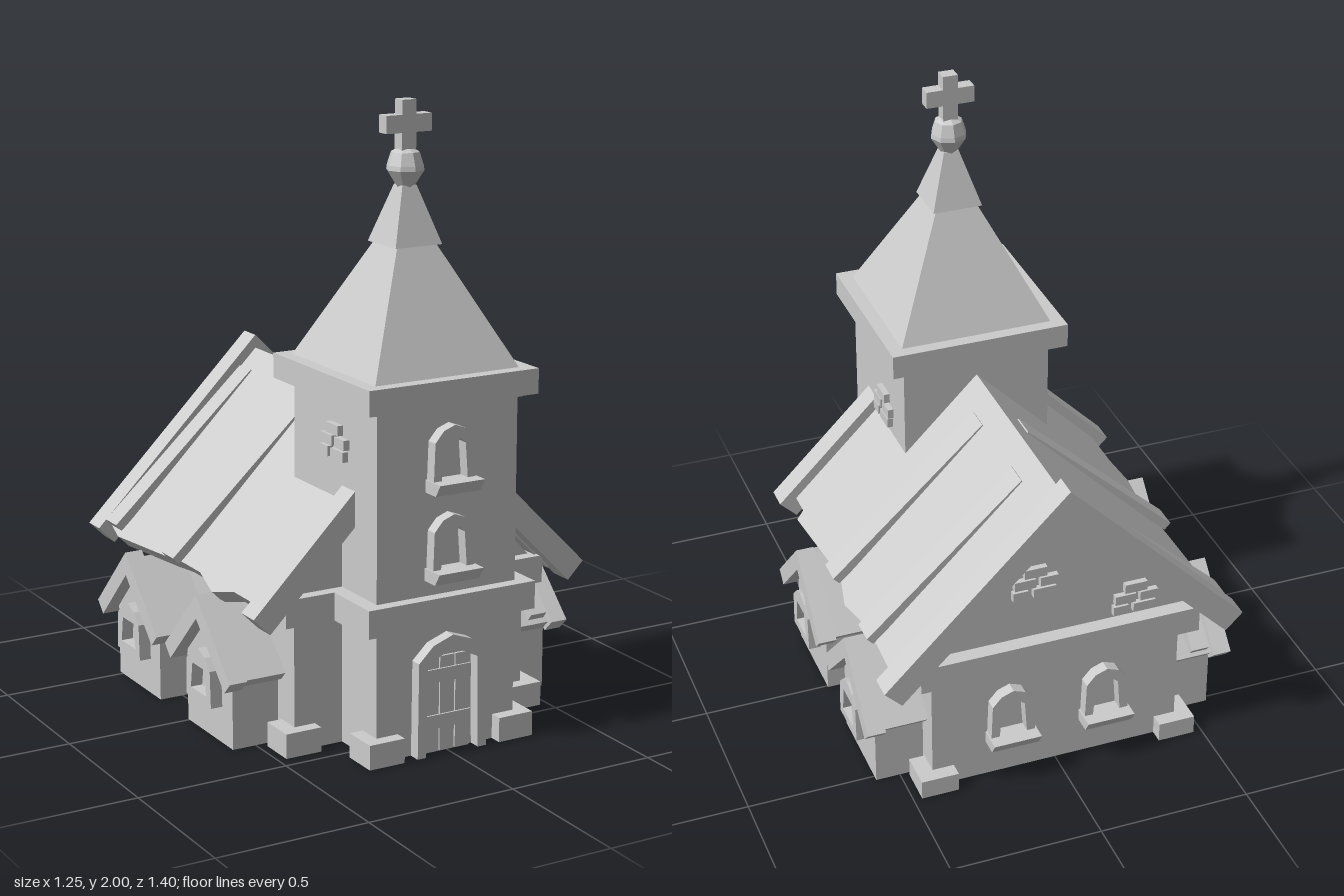
import * as THREE from 'three';

const mat = new THREE.MeshStandardMaterial({ color: 0xcccccc, flatShading: true, side: THREE.DoubleSide });

function add(parent, name, geo, x = 0, y = 0, z = 0) {
  const m = new THREE.Mesh(geo, mat);
  m.name = name;
  m.position.set(x, y, z);
  parent.add(m);
  return m;
}

// box given by its min and max on each axis
function box(parent, name, x0, x1, y0, y1, z0, z1) {
  return add(parent, name, new THREE.BoxGeometry(x1 - x0, y1 - y0, z1 - z0),
    (x0 + x1) / 2, (y0 + y1) / 2, (z0 + z1) / 2);
}

const toPath = (pts, C = THREE.Shape) => new C(pts.map(p => new THREE.Vector2(...p)));

function extrude(pts, depth, hole) {
  const shape = toPath(pts);
  if (hole) shape.holes.push(toPath(hole, THREE.Path));
  return new THREE.ExtrudeGeometry(shape, { depth, bevelEnabled: false });
}

// 45 degree gable roof section; t is the thickness across the slope
function chevron(peak, half, t, depth) {
  const d = t * Math.SQRT1_2, drop = t * Math.SQRT2;
  return extrude([[0, peak], [-half, peak - half], [-half + d, peak - half - d], [0, peak - drop],
    [half - d, peak - half - d], [half, peak - half]], depth);
}

// square frustum
function frustum(rTop, rBottom, h) {
  return new THREE.CylinderGeometry(rTop * Math.SQRT2, rBottom * Math.SQRT2, h, 4).rotateY(Math.PI / 4);
}

// arched window frame with a sloping sill, facing +z, base at y = 0
function windowFrame(parent, x, y, z, rotY = 0) {
  const g = new THREE.Group();
  g.name = 'window';
  add(g, 'windowFrame', extrude(
    [[-0.075, 0.02], [0.075, 0.02], [0.07, 0.16], [0.04, 0.195], [0, 0.21], [-0.04, 0.195], [-0.07, 0.16]], 0.04,
    [[-0.047, 0.03], [-0.038, 0.15], [-0.02, 0.165], [0.02, 0.165], [0.038, 0.15], [0.047, 0.03]]));
  add(g, 'windowSill', extrude([[0, 0], [0.06, 0], [0.085, 0.04], [0, 0.04]], 0.16)
    .rotateY(-Math.PI / 2).translate(0.08, 0, 0));
  g.children[1].geometry.rotateY(0);
  g.position.set(x, y, z);
  g.rotation.y = rotY;
  parent.add(g);
}

// cluster of exposed bricks, facing +z
function bricks(parent, x, y, z, rotY = 0) {
  const g = new THREE.Group();
  g.name = 'exposedBricks';
  for (const [bx, by, w] of [[0, 0.04, 0.075], [-0.035, 0.002, 0.07], [0.045, 0.002, 0.06], [-0.05, -0.037, 0.05], [0.03, -0.037, 0.075]])
    box(g, 'brick', bx - w / 2, bx + w / 2, by - 0.016, by + 0.016, -0.01, 0.02);
  g.position.set(x, y, z);
  g.rotation.y = rotY;
  parent.add(g);
}

// small gabled side bay; local z is the distance from the nave centre line
function sideBay(parent, side, z) {
  const g = new THREE.Group();
  g.name = 'sideBay';
  add(g, 'bayWalls', extrude([[-0.155, 0], [0.155, 0], [0.155, 0.25], [0, 0.4], [-0.155, 0.25]], 0.2), 0, 0, 0.38);
  add(g, 'bayRoof', chevron(0.445, 0.205, 0.04, 0.2), 0, 0, 0.37);
  add(g, 'bayRoofTrim', chevron(0.47, 0.226, 0.055, 0.06), 0, 0, 0.565);
  const plank = add(g, 'bayRoofPlank', new THREE.BoxGeometry(0.23, 0.03, 0.06), -0.128, 0.345, 0.515);
  plank.rotation.z = Math.PI / 4 - 0.08;
  add(g, 'bayWindowFrame', extrude(
    [[-0.085, 0.12], [0.085, 0.12], [0.08, 0.24], [0.045, 0.275], [0, 0.295], [-0.045, 0.275], [-0.08, 0.24]], 0.045,
    [[-0.053, 0.15], [-0.04, 0.235], [0.04, 0.235], [0.053, 0.15]]), 0, 0, 0.575);
  g.rotation.y = side * Math.PI / 2;
  g.position.z = z;
  parent.add(g);
}

// one slope of the nave roof with an uneven lower edge and two lifted planks
function roofSlope(parent, side, edge, planks) {
  const g = new THREE.Group();
  g.name = 'naveRoofSlope';
  // local x runs along the ridge, local y runs down the slope
  const slab = extrude([[-0.65, 0], ...edge, [0.43, 0]], 0.055);
  const down = new THREE.Vector3(side, -1, 0).normalize();
  const normal = new THREE.Vector3(-side, -1, 0).normalize();
  const basis = new THREE.Matrix4().makeBasis(new THREE.Vector3(0, 0, 1), down, normal);
  // mirrored bases flip the winding, which the double sided material allows for
  slab.applyMatrix4(basis);
  add(g, 'roofSlab', slab, 0, 1.04, 0);
  for (const [z0, z1] of planks) {
    const p = add(g, 'roofPlank', new THREE.BoxGeometry(0.7, 0.03, z1 - z0), side * 0.308, 0.737, (z0 + z1) / 2);
    p.rotation.z = -side * (Math.PI / 4 - 0.04);
  }
  parent.add(g);
}

export function createModel() {
  const model = new THREE.Group();
  model.name = 'church';

  // nave walls, gable and string course
  box(model, 'naveWalls', -0.42, 0.42, 0, 0.44, -0.61, 0.41);
  box(model, 'naveBand', -0.47, 0.47, 0.42, 0.51, -0.66, 0.45);
  add(model, 'naveGable', extrude([[-0.45, 0.5], [0.45, 0.5], [0, 0.97]], 1.02), 0, 0, -0.61);

  // nave roof
  roofSlope(model, 1, [[-0.65, 0.78], [-0.46, 0.775], [-0.36, 0.775], [-0.2, 0.805], [-0.1, 0.775],
    [-0.02, 0.775], [0.32, 0.805], [0.33, 0.77], [0.43, 0.77]], [[-0.45, -0.365], [-0.105, -0.02]]);
  roofSlope(model, -1, [[-0.65, 0.775], [-0.54, 0.805], [-0.2, 0.78], [-0.1, 0.77],
    [0.02, 0.77], [0.15, 0.805], [0.25, 0.77], [0.43, 0.77]], [[-0.62, -0.54], [-0.195, -0.11]]);
  add(model, 'backRoofTrim', chevron(1.085, 0.602, 0.08, 0.08), 0, 0, -0.7);
  add(model, 'frontRoofTrim', chevron(1.085, 0.602, 0.08, 0.08), 0, 0, 0.41);

  // tower
  box(model, 'towerWalls', -0.25, 0.25, 0, 1.12, 0.11, 0.62);
  box(model, 'towerBand', -0.3, 0.3, 0.42, 0.51, 0.3, 0.66);
  box(model, 'towerCornice', -0.3, 0.3, 1.11, 1.19, 0.065, 0.66);
  box(model, 'corniceMoulding', -0.26, 0.26, 1.1, 1.12, 0.1, 0.63);

  // spire, finial and cross
  const zc = 0.362;
  add(model, 'spireLower', frustum(0.065, 0.255, 0.38), 0, 1.38, zc);
  add(model, 'spireUpper', frustum(0.025, 0.083, 0.18), 0, 1.65, zc);
  const knob = [[0, 1.725], [0.025, 1.73], [0.06, 1.785], [0.058, 1.8], [0.045, 1.84], [0.025, 1.85], [0, 1.85]];
  add(model, 'finial', new THREE.LatheGeometry(knob.map(p => new THREE.Vector2(...p)), 8), 0, 0, zc);
  box(model, 'crossPost', -0.025, 0.025, 1.84, 2, zc - 0.022, zc + 0.022);
  box(model, 'crossArm', -0.08, 0.08, 1.9, 1.955, zc - 0.022, zc + 0.022);

  // corner stones
  for (const s of [-1, 1])
    for (const [x, z, h] of [[0.235, 0.6, 0.08], [0.41, 0.39, 0.08], [0.41, -0.595, 0.065]])
      box(model, 'cornerStone', s * x - 0.062, s * x + 0.062, 0, h, z - 0.062, z + 0.062);

  // door
  add(model, 'doorFrame', extrude(
    [[-0.125, 0], [-0.095, 0], [-0.09, 0.3], [0, 0.345], [0.09, 0.3], [0.095, 0], [0.125, 0],
      [0.122, 0.31], [0.07, 0.36], [0, 0.385], [-0.07, 0.36], [-0.122, 0.31]], 0.045), 0, 0, 0.615);
  for (const i of [-1, 0, 1])
    box(model, 'doorPlank', i * 0.056 - 0.026, i * 0.056 + 0.026, 0, 0.31, 0.61, 0.628);
  for (const y of [0.1, 0.25]) box(model, 'doorBrace', -0.083, 0.083, y - 0.022, y + 0.022, 0.61, 0.634);

  // windows on the tower front and the back wall
  for (const y of [0.56, 0.84]) windowFrame(model, 0, y, 0.62);
  for (const s of [-1, 1]) windowFrame(model, s * 0.16, 0.13, -0.61, Math.PI);

  // exposed bricks
  bricks(model, 0.25, 0.875, 0.3, Math.PI / 2);
  bricks(model, -0.25, 0.97, 0.38, -Math.PI / 2);
  bricks(model, 0.08, 0.72, -0.61, Math.PI);
  bricks(model, -0.26, 0.58, -0.61, Math.PI);

  // side bays
  for (const s of [-1, 1]) for (const z of [0.148, -0.365]) sideBay(model, s, z);

  return model;
}
